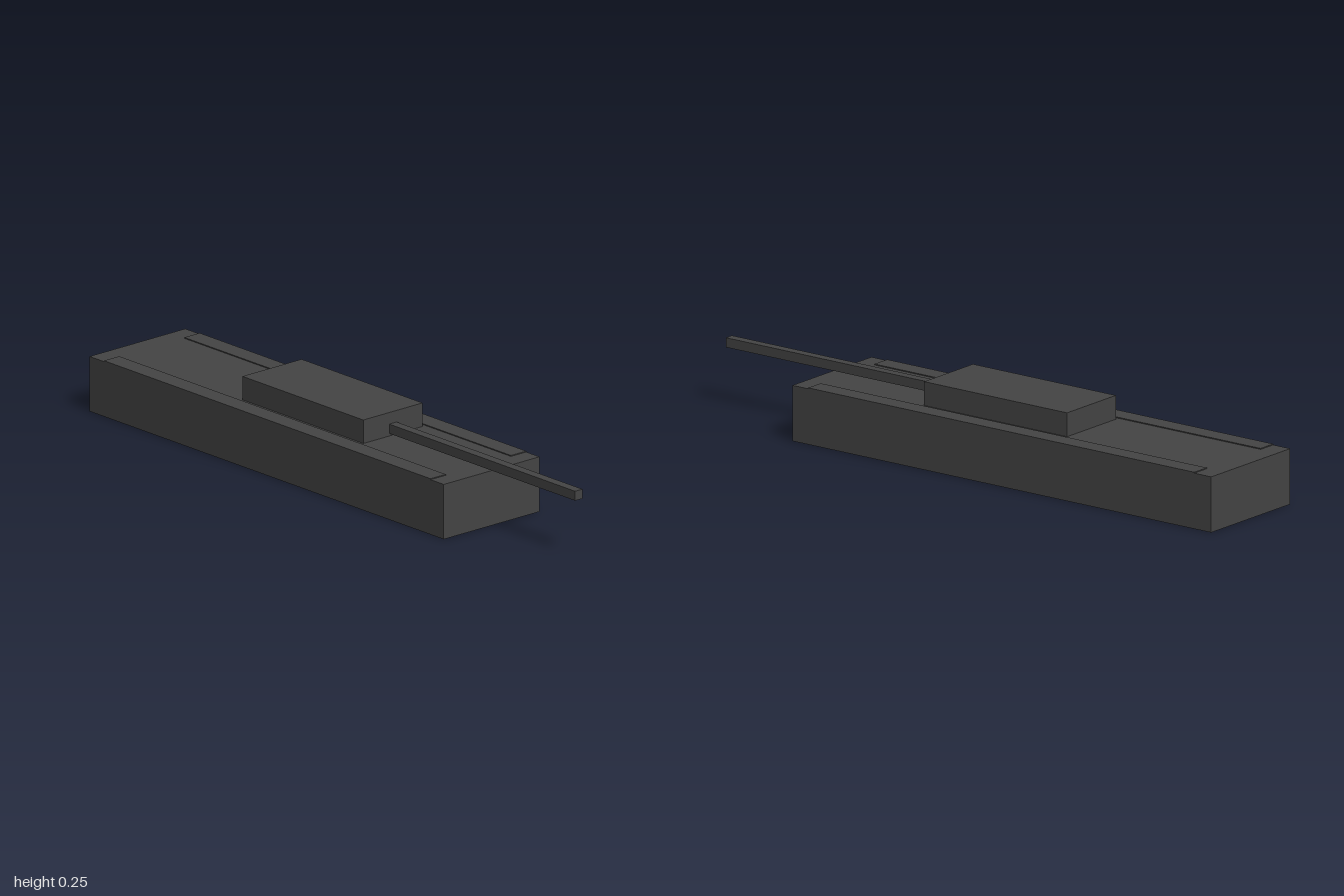
import * as THREE from 'three';

export function createModel() {
  const model = new THREE.Group();
  const material = new THREE.MeshStandardMaterial({ color: 0x444444 });

  // Box given by its minimum and maximum corners
  function addBox(name, [x0, y0, z0], [x1, y1, z1]) {
    const geometry = new THREE.BoxGeometry(x1 - x0, y1 - y0, z1 - z0);
    const mesh = new THREE.Mesh(geometry, material);
    mesh.name = name;
    mesh.position.set((x0 + x1) / 2, (y0 + y1) / 2, (z0 + z1) / 2);
    model.add(mesh);
  }

  // Long body, with the raised block and its forward barrel
  addBox('hull', [-0.194, 0, -1], [0.194, 0.175, 0.605]);
  addBox('turret', [-0.12, 0.175, -0.39], [0.12, 0.25, 0.158]);
  addBox('barrel', [-0.015, 0.183, 0.158], [0.015, 0.213, 1]);

  // Thin track covers along both edges of the deck
  addBox('leftTrackCover', [0.132, 0.175, -0.935], [0.194, 0.178, 0.545]);
  addBox('rightTrackCover', [-0.194, 0.175, -0.935], [-0.132, 0.178, 0.545]);

  return model;
}
